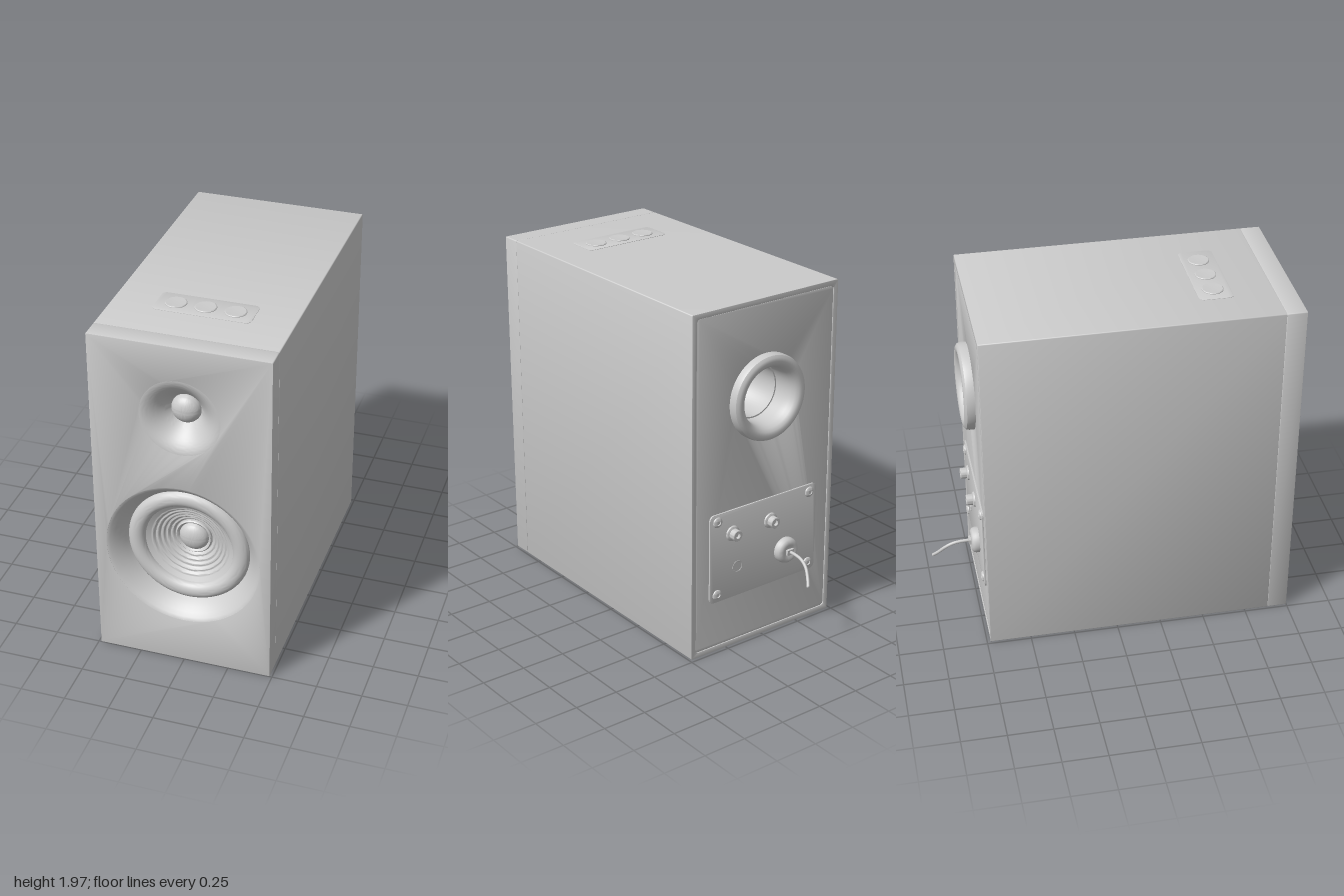
import * as THREE from 'three';
import { toCreasedNormals } from 'three/addons/utils/BufferGeometryUtils.js';

const W = 0.487, H = 1.96, BACK = -0.73, SEAM = 0.888;
const grey = new THREE.MeshStandardMaterial({ color: 0xcccccc, side: THREE.DoubleSide });

// Rounded rectangle centred on (cx, cy)
function roundRect(w, h, r, cx = 0, cy = 0, Type = THREE.Shape) {
  const s = new Type(), x = w / 2, y = h / 2, q = Math.PI / 2;
  s.absarc(cx + x - r, cy + y - r, r, 0, q);
  s.absarc(cx - x + r, cy + y - r, r, q, 2 * q);
  s.absarc(cx - x + r, cy - y + r, r, 2 * q, 3 * q);
  s.absarc(cx + x - r, cy - y + r, r, 3 * q, 4 * q);
  s.closePath();
  return s;
}

function circleHole(x, y, r) {
  const p = new THREE.Path();
  p.absarc(x, y, r, 0, Math.PI * 2, true);
  return p;
}

// Bevelled slab filling exactly z0..z1
function slab(shape, z0, z1, b = 0.005) {
  const g = new THREE.ExtrudeGeometry(shape, {
    depth: z1 - z0 - 2 * b, bevelEnabled: true, bevelSize: b, bevelThickness: b,
    bevelOffset: -b, bevelSegments: 2, curveSegments: 32,
  });
  return toCreasedNormals(g.translate(0, 0, z0 + b), 0.5);
}

// Turned part from [radius, height] pairs, listed from the rim to the axis
function turned(pairs, segments = 64, crease = 0.6) {
  const g = new THREE.LatheGeometry(pairs.map(([r, h]) => new THREE.Vector2(r, h)), segments);
  return toCreasedNormals(g, crease);
}

// Points of a domed cap of radius r and given rise, from its rim to the axis
function dome(r, base, rise, n = 12) {
  return Array.from({ length: n + 1 }, (_, i) => {
    const a = (i / n) * Math.PI / 2;
    return [r * Math.cos(a), base + rise * Math.sin(a)];
  });
}

export function createModel() {
  const group = new THREE.Group();
  const add = (name, geometry, x = 0, y = 0, z = 0, rx = 0) => {
    const m = new THREE.Mesh(geometry, grey);
    m.name = name;
    m.position.set(x, y, z);
    m.rotation.x = rx;
    group.add(m);
    return m;
  };
  const FRONT = Math.PI / 2, REAR = -Math.PI / 2;

  // Cabinet: four-sided shell, front baffle and inset back panel
  const shell = roundRect(2 * W, H, 0.006, 0, H / 2);
  shell.holes.push(roundRect(2 * W - 0.06, H - 0.06, 0.02, 0, H / 2, THREE.Path));
  add('cabinetShell', slab(shell, BACK, SEAM, 0.003));

  const woofer = { y: 0.695, r: 0.43 }, tweeter = { y: 1.55, r: 0.22 };
  const baffle = roundRect(2 * W, H, 0.006, 0, H / 2);
  for (const d of [woofer, tweeter]) baffle.holes.push(circleHole(0, d.y, d.r - 0.006));
  add('frontBaffle', slab(baffle, SEAM, 1, 0.004));

  const port = { y: 1.415, r: 0.24 };
  const back = roundRect(2 * W - 0.06, H - 0.06, 0.02, 0, H / 2);
  back.holes.push(circleHole(0, port.y, 0.2));
  add('backPanel', slab(back, BACK + 0.003, BACK + 0.04, 0.004));

  // Woofer: flared rim, rolled surround, rippled cone, dust cap
  add('wooferFlare', turned([[0.431, 0], [0.424, -0.002], [0.41, -0.012], [0.39, -0.032],
    [0.37, -0.058], [0.352, -0.086], [0.338, -0.115]]), 0, woofer.y, 1, FRONT);
  const surround = [];
  for (let i = 0; i <= 16; i++) {
    const a = (i / 16) * Math.PI;
    surround.push([0.293 + 0.047 * Math.cos(a), -0.115 + 0.04 * Math.sin(a)]);
  }
  add('wooferSurround', turned(surround), 0, woofer.y, 1, FRONT);
  const cone = [];
  for (let i = 0; i <= 60; i++) {
    const t = i / 60;
    const ripple = t > 0.2 ? 0.004 * Math.sin((t - 0.2) / 0.8 * Math.PI * 10) : 0;
    cone.push([0.246 - 0.146 * t, -0.115 - 0.085 * t + ripple]);
  }
  add('wooferCone', turned(cone, 64, 1), 0, woofer.y, 1, FRONT);
  add('dustCapRing', turned([[0.102, -0.205], [0.101, -0.188], [0.095, -0.182], [0.088, -0.186],
    [0.08, -0.2]]), 0, woofer.y, 1, FRONT);
  add('dustCap', turned(dome(0.082, -0.2, 0.05)), 0, woofer.y, 1, FRONT);

  // Tweeter: bell-shaped waveguide and dome
  const bell = [];
  for (let i = 0; i <= 20; i++) {
    const t = i / 20;
    bell.push([tweeter.r - (tweeter.r - 0.08) * t, -0.115 * Math.pow(t, 1.8)]);
  }
  add('tweeterWaveguide', turned(bell), 0, tweeter.y, 1, FRONT);
  add('tweeterDome', turned(dome(0.08, -0.115, 0.06)), 0, tweeter.y, 1, FRONT);

  // Top control panel with three buttons
  add('controlPanel', slab(roundRect(0.53, 0.19, 0.03), 0, 0.007, 0.001), 0, H - 0.005, 0.57, -Math.PI / 2);
  for (const x of [-0.16, 0, 0.16]) {
    add('controlButton', turned([[0.058, 0], [0.058, 0.005], [0.054, 0.008], [0.03, 0.007], [0, 0.006]], 40),
      x, H, 0.57);
  }

  // Bass port: rounded ring flowing into a deep tube
  add('bassPort', turned([[0.24, -0.01], [0.24, 0.025], [0.235, 0.042], [0.222, 0.052], [0.205, 0.055],
    [0.188, 0.05], [0.173, 0.035], [0.163, 0.01], [0.158, -0.03], [0.156, -0.1], [0.148, -0.1],
    [0.148, -0.27], [0.135, -0.295], [0, -0.3]]), 0, port.y, BACK, REAR);

  // Connector plate with corner screws
  add('connectorPlate', slab(roundRect(0.74, 0.52, 0.03), 0, 0.01, 0.002), 0, 0.56, BACK - 0.006);
  const plateZ = BACK - 0.006;
  for (const x of [-0.32, 0.32]) for (const y of [0.345, 0.775]) {
    add('plateScrew', turned([[0.03, 0], [0.028, 0.006], [0.02, 0.012], [0.013, 0.013], [0.012, 0.006],
      [0, 0.006]], 24), x, y, plateZ, REAR);
  }

  // Two binding posts, and a small round socket
  for (const x of [0.217, -0.045]) {
    add('postCollar', turned([[0.044, 0], [0.042, 0.008], [0.03, 0.014], [0, 0.014]], 32), x, 0.683, plateZ, REAR);
    add('bindingPost', turned([[0.031, 0], [0.031, 0.045], [0.028, 0.048], [0.015, 0.048], [0.015, 0.03],
      [0, 0.03]], 32), x, 0.683, plateZ, REAR);
  }
  add('roundSocket', turned([[0.034, 0], [0.034, 0.002], [0.03, 0.002], [0.028, 0.0005], [0, 0.0005]], 32),
    0.18, 0.475, plateZ, REAR);

  // Cable entry: rounded boss, square clip and a drooping cable
  add('cableBoss', turned([[0.073, 0], [0.073, 0.02], [0.068, 0.034], [0.056, 0.043], [0.04, 0.045],
    [0.03, 0.04], [0, 0.04]], 40), -0.15, 0.478, plateZ, REAR);
  add('cableClip', new THREE.BoxGeometry(0.045, 0.03, 0.02), -0.15, 0.478, plateZ - 0.046);
  const path = new THREE.CatmullRomCurve3([
    [-0.15, 0.478, -0.76], [-0.15, 0.478, -0.83], [-0.149, 0.469, -0.88],
    [-0.142, 0.443, -0.925], [-0.123, 0.4, -0.965], [-0.102, 0.368, -0.994],
  ].map((p) => new THREE.Vector3(...p)));
  add('cable', new THREE.TubeGeometry(path, 40, 0.009, 12));
  add('cableTip', new THREE.SphereGeometry(0.009, 12, 8), -0.102, 0.368, -0.992);

  return group;
}
